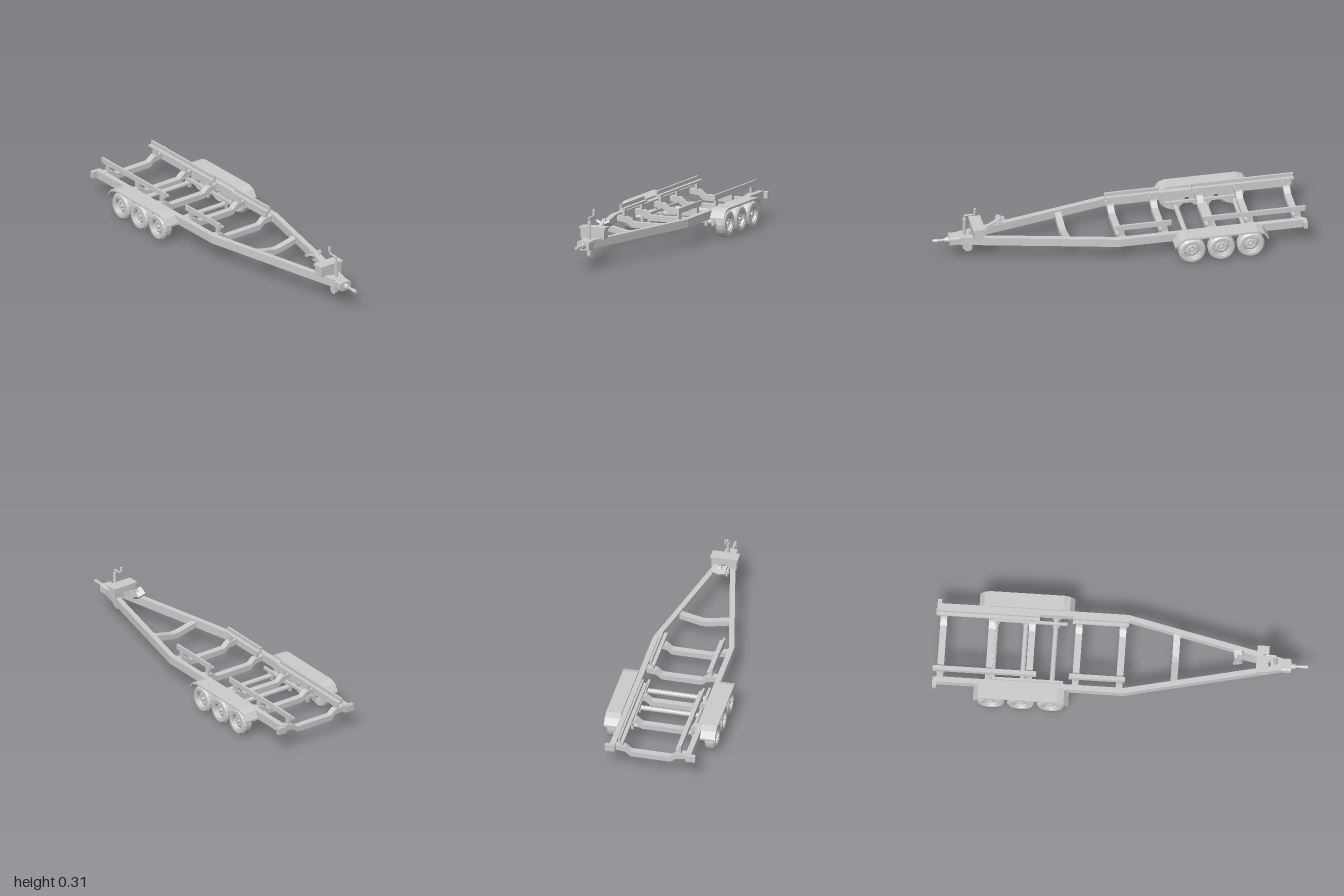
import * as THREE from 'three';

const mat = new THREE.MeshStandardMaterial({ color: 0xcccccc, flatShading: true, side: THREE.DoubleSide });

export function createModel() {
  const root = new THREE.Group();

  const add = (name, geo, parent = root) => {
    const m = new THREE.Mesh(geo, mat);
    m.name = name;
    parent.add(m);
    return m;
  };
  // Box given by its min and max on each axis
  const box = (name, x0, x1, y0, y1, z0, z1, parent = root) => {
    const m = add(name, new THREE.BoxGeometry(x1 - x0, y1 - y0, z1 - z0), parent);
    m.position.set((x0 + x1) / 2, (y0 + y1) / 2, (z0 + z1) / 2);
    return m;
  };
  // Bent strip: a polyline thickened in its second coordinate, then extruded
  const strip = (pts, t, depth) => {
    const up = pts.map(([a, b]) => new THREE.Vector2(a, b + t / 2));
    const low = pts.map(([a, b]) => new THREE.Vector2(a, b - t / 2)).reverse();
    return new THREE.ExtrudeGeometry(new THREE.Shape([...low, ...up]), { depth, bevelEnabled: false });
  };
  // Cylinder along x, y or z
  const rod = (name, r0, r1, len, axis, x, y, z, sides = 12, parent = root) => {
    const g = new THREE.CylinderGeometry(r1, r0, len, sides);
    if (axis === 'x') g.rotateZ(-Math.PI / 2);
    if (axis === 'z') g.rotateX(Math.PI / 2);
    const m = add(name, g, parent);
    m.position.set(x, y, z);
    return m;
  };

  // Cross members, dropped in the middle
  const crossMember = (x, half, mid) => {
    const pts = [[-half, 0.13], [-mid - 0.03, 0.123], [-mid, 0.098], [mid, 0.098], [mid + 0.03, 0.123], [half, 0.13]];
    const p = half < 0.18 ? [[-half, 0.128], [-0.015, 0.1], [0.015, 0.1], [half, 0.128]] : pts;
    add('crossMember', strip(p, 0.03, 0.036).rotateY(-Math.PI / 2).translate(x + 0.018, 0, 0));
  };
  const postXs = [-0.96, -0.7, -0.485, -0.235, 0];
  postXs.forEach(x => crossMember(x, 0.2, 0.11));
  crossMember(0.29, 0.145, 0);

  // Wheel, outer face toward +z
  const axleXs = [-0.68, -0.52, -0.36];
  const makeWheel = () => {
    const wheel = new THREE.Group();
    wheel.name = 'wheel';
    const v = (r, h) => new THREE.Vector2(r, h);
    const tyre = [v(0.045, -0.026), v(0.064, -0.028), v(0.074, -0.018), v(0.074, 0.018), v(0.064, 0.028), v(0.048, 0.028), v(0.045, 0.024)];
    add('tyre', new THREE.LatheGeometry(tyre, 20).rotateX(Math.PI / 2), wheel);
    const rim = [v(0, -0.02), v(0.045, -0.026), v(0.045, 0.024), v(0.04, 0.024), v(0.036, 0.008), v(0.028, 0.014), v(0.018, 0.014), v(0.015, 0.01), v(0, 0.01)];
    add('rim', new THREE.LatheGeometry(rim, 20).rotateX(Math.PI / 2), wheel);
    rod('hub', 0.012, 0.01, 0.014, 'z', 0, 0, 0.016, 12, wheel);
    for (let i = 0; i < 6; i++) {
      const a = i * Math.PI / 3;
      rod('wheelNut', 0.0025, 0.0025, 0.006, 'z', 0.022 * Math.cos(a), 0.022 * Math.sin(a), 0.016, 6, wheel);
    }
    return wheel;
  };
  axleXs.forEach(x => rod('axle', 0.014, 0.014, 0.5, 'z', x, 0.076, 0));

  // Parts found on both sides
  for (const s of [1, -1]) {
    const zbox = (name, x0, x1, y0, y1, z0, z1) =>
      box(name, x0, x1, y0, y1, Math.min(s * z0, s * z1), Math.max(s * z0, s * z1));

    // Side rail bending into the drawbar
    add('sideRail', strip([[-0.985, s * 0.208], [0.025, s * 0.208], [0.86, s * 0.018]], 0.03, 0.045)
      .rotateX(Math.PI / 2).translate(0, 0.152, 0));

    // Fender
    const arch = [[-0.775, 0.11], [-0.75, 0.145], [-0.715, 0.158], [-0.325, 0.158], [-0.29, 0.145], [-0.265, 0.11]];
    add('fender', strip(arch, 0.01, 0.083).translate(0, 0, s > 0 ? 0.222 : -0.305));

    // Wheels, with hangers for the axles
    for (const x of axleXs) {
      const w = makeWheel();
      w.position.set(x, 0.074, s * 0.27);
      if (s < 0) w.rotation.y = Math.PI;
      root.add(w);
      zbox('outerHanger', x - 0.02, x + 0.02, 0.058, 0.11, 0.199, 0.214);
      zbox('innerHanger', x - 0.02, x + 0.02, 0.058, 0.1, 0.159, 0.173);
    }
    zbox('suspensionBeam', -0.72, -0.3, 0.092, 0.107, 0.159, 0.173);

    // Angle-section bunks on posts
    for (const [x0, x1] of [[-1, -0.445], [-0.27, 0.03]]) {
      zbox('bunkFlat', x0, x1, 0.177, 0.187, 0.143, 0.173);
      zbox('bunkUpright', x0, x1, 0.177, 0.206, 0.162, 0.173);
    }
    postXs.forEach(x => zbox('bunkPost', x - 0.014, x + 0.014, 0.12, 0.178, 0.153, 0.167));

    // Tail lamp
    zbox('tailLamp', -0.998, -0.975, 0.112, 0.148, 0.195, 0.248);

    // Half of the V-shaped bow stop
    const wing = add('bowStop', strip([[0, 0], [s * 0.038, 0.018]], 0.016, 0.05));
    wing.rotation.set(0, -Math.PI / 2, 0);
    wing.geometry.rotateX(0.5);
    wing.geometry.scale(1, 1, 1);
    wing.position.set(0.655, 0.209, 0);
    if (s > 0) wing.name = 'bowStopLeft';
  }

  // Bow stop arm
  const arm = add('bowStopArm', new THREE.BoxGeometry(0.14, 0.018, 0.018));
  arm.position.set(0.685, 0.19, 0);
  arm.rotation.z = -0.52;

  // Storage box with lid
  box('storageBox', 0.73, 0.785, 0.148, 0.202, -0.068, 0.068);
  box('storageBoxLid', 0.725, 0.79, 0.2, 0.212, -0.075, 0.075);

  // Coupler head, with rounded corners
  const head = new THREE.Shape();
  head.moveTo(-0.025, -0.024).lineTo(0.025, -0.024).quadraticCurveTo(0.035, -0.024, 0.035, -0.014)
    .lineTo(0.035, 0.014).quadraticCurveTo(0.035, 0.024, 0.025, 0.024)
    .lineTo(-0.025, 0.024).quadraticCurveTo(-0.035, 0.024, -0.035, 0.014)
    .lineTo(-0.035, -0.014).quadraticCurveTo(-0.035, -0.024, -0.025, -0.024);
  add('couplerHead', new THREE.ExtrudeGeometry(head, { depth: 0.11, bevelEnabled: false, curveSegments: 4 })
    .rotateY(Math.PI / 2).translate(0.8, 0.128, 0));
  rod('couplerNeck', 0.018, 0.012, 0.03, 'x', 0.92, 0.128, 0);
  rod('couplerShaft', 0.007, 0.007, 0.05, 'x', 0.955, 0.128, 0);
  rod('couplerTip', 0.011, 0.009, 0.025, 'x', 0.9875, 0.128, 0);

  // Jockey jack with crank and small wheel
  rod('jackTube', 0.01, 0.01, 0.16, 'y', 0.826, 0.17, 0);
  const crank = new THREE.CurvePath();
  const pts = [[0.826, 0.24], [0.826, 0.268], [0.773, 0.268], [0.768, 0.285]].map(([x, y]) => new THREE.Vector3(x, y, 0));
  for (let i = 0; i < 3; i++) crank.add(new THREE.LineCurve3(pts[i], pts[i + 1]));
  add('jackCrank', new THREE.TubeGeometry(crank, 30, 0.005, 8));
  rod('jackHandle', 0.007, 0.007, 0.024, 'y', 0.768, 0.293, 0);
  box('jackFork', 0.8, 0.834, 0.064, 0.105, -0.01, 0.01);
  rod('jackWheel', 0.024, 0.024, 0.012, 'z', 0.805, 0.067, 0, 16);
  rod('jackWheelAxle', 0.005, 0.005, 0.024, 'z', 0.805, 0.067, 0, 8);

  return root;
}
